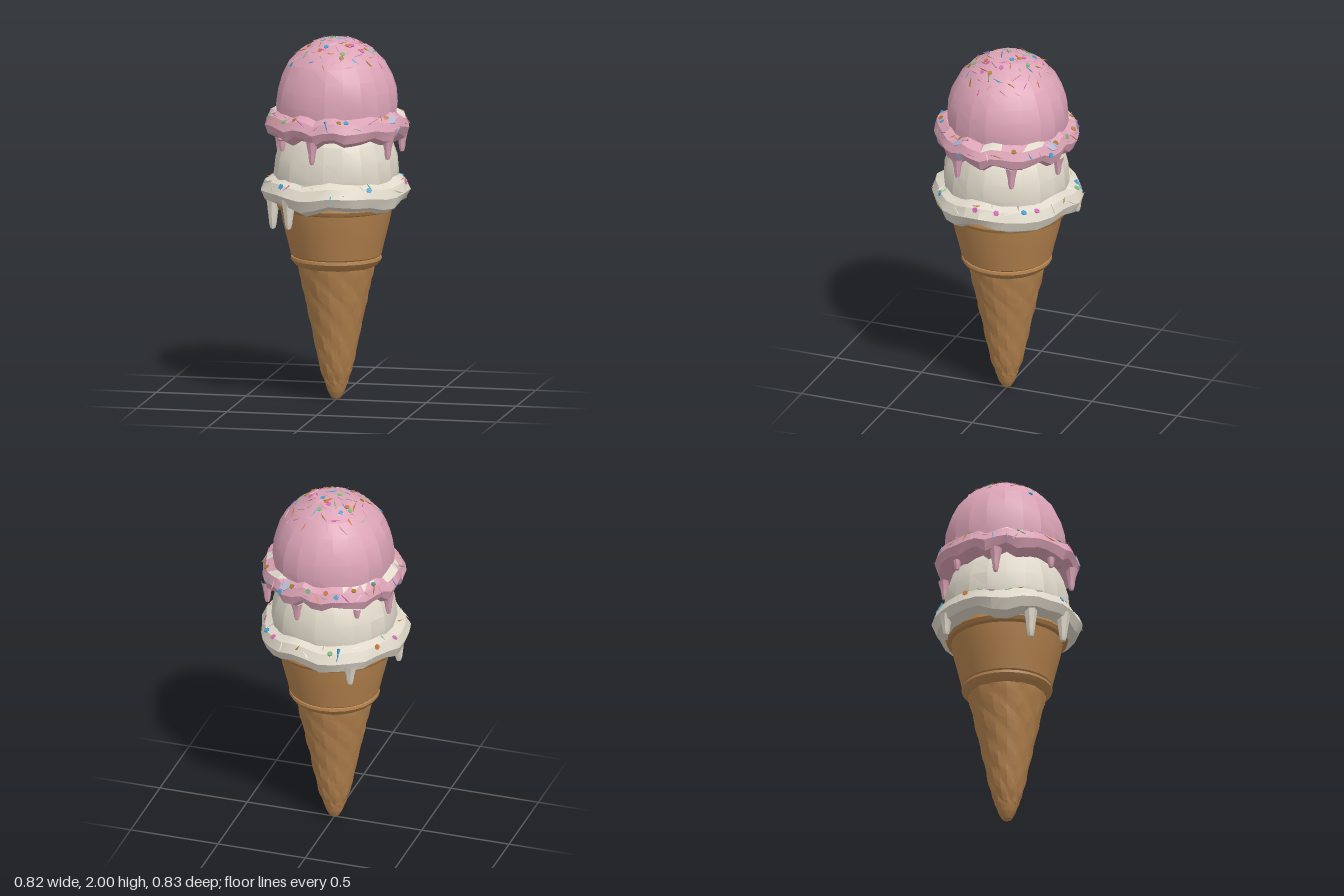
import * as THREE from 'three';
import { toCreasedNormals } from 'three/addons/utils/BufferGeometryUtils.js';

const mat = (name, color) => {
  const m = new THREE.MeshStandardMaterial({ color });
  m.name = name;
  return m;
};

// Seeded random numbers
function seeded(seed) {
  return () => {
    seed = (seed * 16807) % 2147483647;
    return seed / 2147483647;
  };
}

// Move every vertex by a rule
function reshape(geo, rule) {
  const p = geo.attributes.position, v = new THREE.Vector3();
  for (let i = 0; i < p.count; i++) {
    v.fromBufferAttribute(p, i);
    rule(v);
    p.setXYZ(i, v.x, v.y, v.z);
  }
  return geo;
}

const lathe = (pts, segs) => new THREE.LatheGeometry(pts.map(([r, y]) => new THREE.Vector2(r, y)), segs);
const lump = (v, f) => Math.sin(v.x * f + v.y * 9) * Math.sin(v.z * f * 1.1 - v.y * 7 + 1);

export function createModel() {
  const group = new THREE.Group();
  const wafer = mat('wafer', 0xb5834e);
  const pink = mat('pink ice cream', 0xdba3b6);
  const cream = mat('cream ice cream', 0xe0d9ca);
  const blue = mat('blue candy', 0x3f9fd0);
  const green = mat('green candy', 0x78b878);
  const orange = mat('orange candy', 0xc9793a);
  const magenta = mat('magenta candy', 0xd668b8);
  const gold = mat('gold candy', 0xa5782f);
  const lilac = mat('lilac candy', 0xb4b4d0);
  const candy = [blue, green, orange, magenta, gold];

  const add = (name, geo, material, crease = 0.5) => {
    const m = new THREE.Mesh(toCreasedNormals(geo, crease), material);
    m.name = name;
    group.add(m);
    return m;
  };

  // Waffle cone with a shallow diamond quilting
  const outline = new THREE.SplineCurve([[0.045, 0.045], [0.063, 0.1], [0.093, 0.2], [0.135, 0.4], [0.175, 0.58], [0.212, 0.75]]
    .map(([r, y]) => new THREE.Vector2(r, y)));
  const conePts = [[0, 0], [0.026, 0.012], ...outline.getPoints(26).map((p) => [p.x, p.y])];
  add('waffleCone', reshape(lathe(conePts, 32), (v) => {
    const r = Math.hypot(v.x, v.z);
    if (r < 0.06) return;
    const a = Math.atan2(v.x, v.z);
    const ridge = Math.abs(Math.sin(4 * a + 20 * v.y) * Math.sin(4 * a - 20 * v.y));
    const k = 1 + (0.008 * ridge - 0.003) / r;
    v.x *= k;
    v.z *= k;
  }), wafer, 0.25);

  // Collar, cup and rim
  add('coneCollar', lathe([[0.2, 0.735], [0.23, 0.755], [0.248, 0.78], [0.246, 0.795], [0.225, 0.803]], 24), wafer);
  add('coneCup', lathe([[0.225, 0.785], [0.247, 0.805], [0.262, 0.87], [0.29, 0.98], [0.306, 1.065]], 24), wafer);
  add('coneRim', lathe([[0.3, 1.055], [0.325, 1.065], [0.335, 1.085], [0.33, 1.105], [0.305, 1.112], [0, 1.112]], 24), wafer);

  // Scoops
  const scoop = (name, pts, material) => add(name, reshape(lathe(pts, 20), (v) => {
    const k = 1 + 0.017 * lump(v, 12);
    v.x *= k;
    v.z *= k;
  }), material, 0.3);
  scoop('lowerScoop', [[0.3, 1.1], [0.335, 1.18], [0.343, 1.26], [0.335, 1.35], [0.305, 1.44], [0.25, 1.52], [0, 1.55]], cream);
  const upperScoop = scoop('upperScoop', [[0.29, 1.48], [0.328, 1.57], [0.332, 1.64], [0.324, 1.72], [0.302, 1.79],
    [0.265, 1.86], [0.205, 1.925], [0.11, 1.98], [0, 2]], pink);
  upperScoop.position.set(0.003, 0, -0.01);

  // Lumpy skirts under each scoop
  const skirt = (name, y, R, tube, squash, sides, waves, ragged, material) => {
    const g = new THREE.TorusGeometry(R, tube, 9, sides).rotateX(Math.PI / 2);
    return add(name, reshape(g, (v) => {
      const a = Math.atan2(v.x, v.z);
      const k = 1 + 0.025 * lump(v, 19) + 0.012 * Math.sin(5 * a + 2);
      v.x *= k;
      v.z *= k;
      const wave = Math.sin(waves * a) + 0.6 * Math.sin((waves + 4) * a + 1);
      v.y = y + v.y * squash + wave * (v.y < -0.02 ? ragged : 0.009);
    }), material, 0.4);
  };
  const lowerSkirt = skirt('lowerSkirt', 1.165, 0.312, 0.096, 0.85, 30, 5, 0.016, cream);
  const upperSkirt = skirt('upperSkirt', 1.53, 0.312, 0.08, 0.92, 40, 11, 0.017, pink);
  upperSkirt.position.x = 0.008;

  // Cream smeared over the inner top of the upper skirt
  const smears = [[-2.75, -2.1], [-1.85, -1.25], [1.6, 1.9], [2.3, 2.6]];
  const sp = upperSkirt.geometry.attributes.position;
  const mid = (i, axis) => (sp.array[3 * i + axis] + sp.array[3 * i + 3 + axis] + sp.array[3 * i + 6 + axis]) / 3;
  for (let i = 0; i < sp.count; i += 3) {
    const x = mid(i, 0), z = mid(i, 2), a = Math.atan2(x, z);
    const smeared = mid(i, 1) > 1.565 && Math.hypot(x, z) < 0.358 && smears.some(([lo, hi]) => a > lo && a < hi);
    upperSkirt.geometry.addGroup(i, 3, smeared ? 1 : 0);
  }
  upperSkirt.material = [pink, cream];

  // Drips: [x, z, top, bottom]
  const drip = (name, material, w) => ([x, z, top, bottom]) => {
    const g = lathe([[0, bottom], [w * 0.65, bottom + 0.006], [w, bottom + 0.03],
      [w * 1.15, bottom + 0.06], [w * 2, top]], 7);
    add(name, g, material, 0.7).position.set(x, 0, z);
  };
  [[-0.06, 0.35, 1.48, 1.35], [0.32, 0.16, 1.48, 1.36], [0.33, -0.16, 1.48, 1.35],
    [0.1, -0.34, 1.48, 1.37], [-0.33, -0.06, 1.48, 1.34], [-0.25, 0.24, 1.47, 1.4],
    [-0.22, -0.27, 1.47, 1.4]].forEach(drip('upperDrip', pink, 0.018));
  [[-0.325, 0.13, 1.15, 0.95], [-0.2, 0.305, 1.15, 0.98],
    [-0.2, -0.33, 1.14, 1.02]].forEach(drip('lowerDrip', cream, 0.021));

  // Find the surface point and normal along a ray
  group.updateMatrixWorld(true);
  const ray = new THREE.Raycaster();
  const land = (target, origin, dir) => {
    ray.set(origin, dir);
    const hit = ray.intersectObject(target)[0];
    return hit && { point: hit.point, normal: hit.face.normal };
  };
  const onTop = (target, x, z) => land(target, new THREE.Vector3(x, 3, z), new THREE.Vector3(0, -1, 0));
  const onSkirt = (target, y, a, tilt) => {
    const out = new THREE.Vector3(Math.cos(tilt) * Math.sin(a), Math.sin(tilt), Math.cos(tilt) * Math.cos(a));
    const core = new THREE.Vector3(0.312 * Math.sin(a), y, 0.312 * Math.cos(a));
    return land(target, core.addScaledVector(out, 0.3), out.negate());
  };

  // Sprinkles: slim slivers half sunk in the ice cream
  const rand = seeded(4711);
  const up = new THREE.Vector3(0, 1, 0);
  const sliver = new THREE.ConeGeometry(0.009, 0.06, 3).toNonIndexed();
  sliver.computeVertexNormals();
  const place = (name, geo, material, point, axis) => {
    const m = new THREE.Mesh(geo, material);
    m.name = name;
    m.position.copy(point);
    m.quaternion.setFromUnitVectors(up, axis);
    group.add(m);
    return m;
  };
  const sprinkle = (spot, material) => {
    if (!spot) return;
    const axis = new THREE.Vector3(rand() - 0.5, rand() - 0.5, rand() - 0.5)
      .projectOnPlane(spot.normal).normalize().addScaledVector(spot.normal, 0.25).normalize();
    place('sprinkle', sliver, material, spot.point, axis).scale.setScalar(0.75 + 0.5 * rand());
  };
  for (let i = 0; i < 70; i++) {
    const a = i * 2.39996, r = 0.25 * Math.sqrt((i + 0.5) / 70);
    sprinkle(onTop(upperScoop, 0.02 + r * Math.sin(a), r * Math.cos(a)), i % 2 ? pink : candy[(i >> 1) % 5]);
  }
  const ring = (count, target, y, base) => {
    for (let i = 0; i < count; i++) {
      const a = (i + 0.6 * rand()) / count * Math.PI * 2;
      sprinkle(onSkirt(target, y, a, 0.1 + 1.2 * rand()), i % 3 ? base : candy[(i / 3) % 5]);
    }
  };
  ring(42, upperSkirt, 1.53, pink);
  ring(27, lowerSkirt, 1.165, cream);

  // Sunken candies showing as flat spots
  const spot = (hit, material, r) => hit && place('candySpot', new THREE.CylinderGeometry(r, r, 0.006, 6), material, hit.point, hit.normal);
  [[0.16, 0.08, magenta], [0.1, 0.07, magenta], [0, -0.1, magenta], [0.13, -0.02, magenta], [0.17, 0.03, orange],
    [0.02, -0.08, orange], [-0.1, -0.08, orange], [-0.06, 0.14, orange], [0.08, 0.09, orange], [0.07, 0.19, gold],
    [-0.14, 0.05, gold], [-0.03, 0, green], [0.07, 0.16, green], [0.04, -0.14, green], [-0.12, -0.09, green],
    [-0.22, 0.13, blue], [-0.08, -0.13, blue], [0.05, -0.05, blue], [-0.03, 0.12, blue]]
    .forEach(([x, z, m]) => spot(onTop(upperScoop, x, z), m, 0.014));
  [[0.2, -0.34, blue], [0.13, -0.34, gold], [-0.21, -0.295, gold], [-0.07, -0.36, orange], [-0.13, -0.36, blue],
    [-0.23, 0.28, green], [-0.165, 0.31, gold], [0.09, 0.35, gold], [0.125, 0.33, blue], [0.33, -0.175, gold],
    [-0.29, -0.2, blue], [0.03, -0.365, green], [0.31, 0.15, orange]]
    .forEach(([x, z, m]) => spot(onTop(upperSkirt, x, z), m, 0.015));
  [[0.17, -0.335], [0.335, 0.15]].forEach(([x, z]) => spot(onTop(upperSkirt, x, z), lilac, 0.032));
  spot(onSkirt(upperSkirt, 1.53, 1.25, -0.2), lilac, 0.03);
  [[0.7, blue], [1.5, magenta], [1.8, magenta], [2.2, blue], [2.4, magenta], [3.4, green], [4.1, orange], [4.5, magenta], [5.6, blue]]
    .forEach(([a, m]) => spot(onSkirt(lowerSkirt, 1.165, a, 0.6), m, 0.016));

  return group;
}
